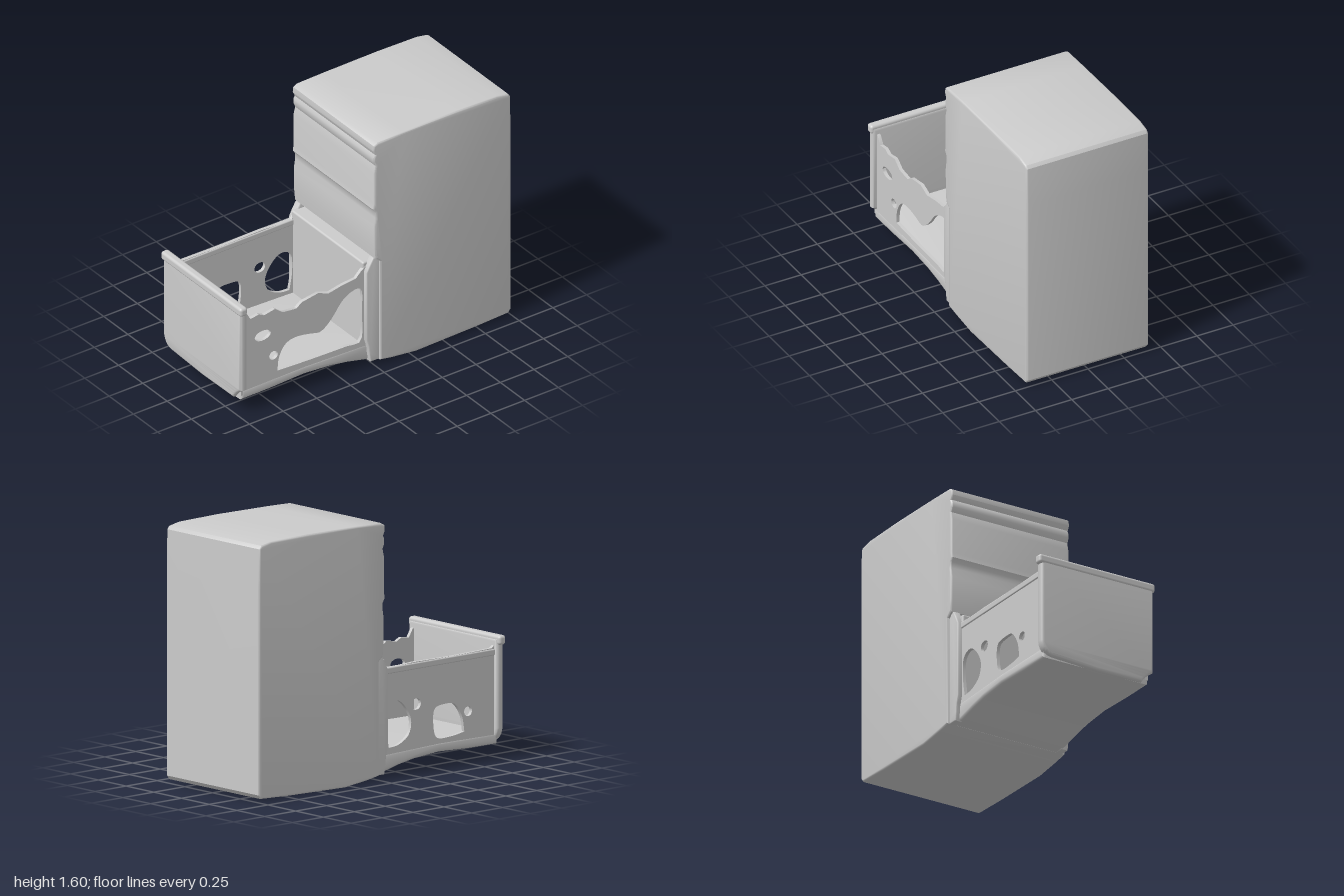
import * as THREE from 'three';
import { toCreasedNormals } from 'three/addons/utils/BufferGeometryUtils.js';
import { RoundedBoxGeometry } from 'three/addons/geometries/RoundedBoxGeometry.js';
import { ConvexGeometry } from 'three/addons/geometries/ConvexGeometry.js';

const material = new THREE.MeshStandardMaterial({ color: 0xcccccc, side: THREE.DoubleSide });
const points = (list) => list.map(([x, y]) => new THREE.Vector2(x, y));

// Extrude a [z, y] outline across x, centred on cx
function extrudeAcross(outline, width, cx = 0, bevel = 0, holes = []) {
  const shape = new THREE.Shape(points(outline));
  for (const hole of holes) {
    const path = new THREE.Path();
    path.setFromPoints(new THREE.SplineCurve(points([...hole, hole[0]])).getPoints(40));
    shape.holes.push(path);
  }
  const geometry = new THREE.ExtrudeGeometry(shape, {
    depth: width - 2 * bevel, bevelEnabled: bevel > 0, bevelThickness: bevel,
    bevelSize: bevel, bevelOffset: -bevel, bevelSegments: 3,
  });
  geometry.translate(0, 0, -(width - 2 * bevel) / 2);
  geometry.rotateY(-Math.PI / 2);
  geometry.translate(cx, 0, 0);
  return toCreasedNormals(geometry, 0.6);
}

function ellipse(z, y, rz, ry) {
  return Array.from({ length: 10 }, (_, i) => {
    const a = (i / 10) * Math.PI * 2;
    return [z + rz * Math.cos(a), y + ry * Math.sin(a)];
  });
}

export function createModel() {
  const model = new THREE.Group();
  const add = (name, geometry, parent = model) => {
    const mesh = new THREE.Mesh(geometry, material);
    mesh.name = name;
    parent.add(mesh);
    return mesh;
  };
  const box = (name, x0, x1, y0, y1, z0, z1, r, parent) => {
    const mesh = add(name, new RoundedBoxGeometry(x1 - x0, y1 - y0, z1 - z0, 3, r), parent);
    mesh.position.set((x0 + x1) / 2, (y0 + y1) / 2, (z0 + z1) / 2);
  };

  // Cabinet body, with the closed drawer fronts as ripples in its front profile
  add('cabinet', extrudeAcross([
    [-0.98, 0.025], [-0.75, 0.015], [-0.3, 0.005], [-0.12, 0.025], [-0.03, 0.04],
    [-0.03, 0.74], [0.005, 0.77], [0.012, 0.85], [0.014, 1.0], [0.004, 1.06],
    [0.006, 1.1], [0.022, 1.125], [0.016, 1.16], [0.016, 1.38], [0.004, 1.43],
    [0.018, 1.46], [0.018, 1.49], [0.008, 1.51], [0.022, 1.54], [0.018, 1.575],
    [-0.01, 1.59], [-0.2, 1.595], [-0.6, 1.6], [-0.9, 1.595], [-0.98, 1.58],
    [-0.995, 1.56], [-1, 1.3], [-1, 0.05],
  ], 0.84, 0, 0.012));

  // Drawer opening frame
  for (const s of [-1, 1]) {
    add('openingPost', extrudeAcross([
      [-0.05, 0.04], [0.03, 0.04], [0.04, 0.1], [0.045, 0.15], [0.06, 0.2],
      [0.06, 0.68], [0.035, 0.73], [0.01, 0.77], [-0.05, 0.77],
    ], 0.05, s * 0.378, 0.008));
  }

  const drawer = new THREE.Group();
  drawer.name = 'openDrawer';
  model.add(drawer);

  // Drawer front with rounded lower corners and a lip along the top
  const front = new THREE.Shape();
  front.moveTo(-0.4, 0.75);
  front.lineTo(-0.4, 0.2);
  front.quadraticCurveTo(-0.39, 0.12, -0.32, 0.11);
  front.lineTo(0, 0.095);
  front.lineTo(0.32, 0.1);
  front.quadraticCurveTo(0.35, 0.15, 0.4, 0.18);
  front.lineTo(0.4, 0.75);
  const frontGeometry = new THREE.ExtrudeGeometry(front, {
    depth: 0.015, bevelThickness: 0.02, bevelSize: 0.02, bevelOffset: -0.02, bevelSegments: 4,
  });
  frontGeometry.translate(0, 0, 0.96);
  add('drawerFront', toCreasedNormals(frontGeometry, 0.7), drawer);
  box('frontLip', -0.418, 0.41, 0.71, 0.768, 0.945, 1, 0.018, drawer);

  // Floor pan, sloping down towards the cabinet
  add('drawerFloor', extrudeAcross([
    [-0.05, 0.04], [0.05, 0.045], [0.18, 0.075], [0.3, 0.095], [0.5, 0.11],
    [0.75, 0.1], [0.97, 0.098], [0.97, 0.17], [0.5, 0.175], [0, 0.16],
  ], 0.75, 0, 0.02), drawer);
  box('drawerBack', -0.37, 0.37, 0.1, 0.74, -0.04, 0.065, 0.012, drawer);

  // Pierced side walls: left has one merged opening, right has separate ones
  const leftEdge = [
    [0.02, 0.13], [0.97, 0.13], [0.97, 0.72], [0.93, 0.7], [0.9, 0.65], [0.84, 0.66],
    [0.8, 0.64], [0.72, 0.655], [0.66, 0.61], [0.56, 0.6], [0.52, 0.63], [0.4, 0.65],
    [0.32, 0.62], [0.22, 0.64], [0.12, 0.65], [0.08, 0.69], [0.02, 0.73],
  ];
  const rightEdge = [
    [0.02, 0.13], [0.97, 0.13], [0.97, 0.73], [0.92, 0.69], [0.6, 0.685],
    [0.3, 0.69], [0.08, 0.68], [0.02, 0.73],
  ];
  add('leftWall', extrudeAcross(leftEdge, 0.022, 0.362, 0, [
    [[0.7, 0.21], [0.69, 0.3], [0.64, 0.38], [0.56, 0.4], [0.46, 0.385], [0.38, 0.37],
      [0.3, 0.43], [0.22, 0.53], [0.13, 0.575], [0.075, 0.55], [0.075, 0.4], [0.08, 0.2],
      [0.2, 0.195], [0.45, 0.2]],
    ellipse(0.73, 0.33, 0.032, 0.03),
    ellipse(0.81, 0.5, 0.06, 0.035),
  ]), drawer);
  add('rightWall', extrudeAcross(rightEdge, 0.022, -0.362, 0, [
    [[0.7, 0.21], [0.68, 0.31], [0.62, 0.39], [0.54, 0.4], [0.46, 0.38], [0.45, 0.28],
      [0.48, 0.2], [0.6, 0.195]],
    [[0.09, 0.19], [0.07, 0.32], [0.08, 0.44], [0.15, 0.475], [0.22, 0.43], [0.27, 0.34],
      [0.25, 0.25], [0.17, 0.2]],
    ellipse(0.31, 0.43, 0.04, 0.035),
    ellipse(0.73, 0.33, 0.032, 0.03),
  ]), drawer);
  box('rightRail', -0.38, -0.345, 0.645, 0.685, 0.03, 0.96, 0.008, drawer);

  // Folded gusset in the front corner of the pan
  add('cornerGusset', new ConvexGeometry([
    [-0.35, 0.165, 0.67], [-0.08, 0.165, 0.95], [-0.35, 0.165, 0.95], [-0.35, 0.3, 0.95],
  ].map((p) => new THREE.Vector3(...p))), drawer);

  return model;
}
